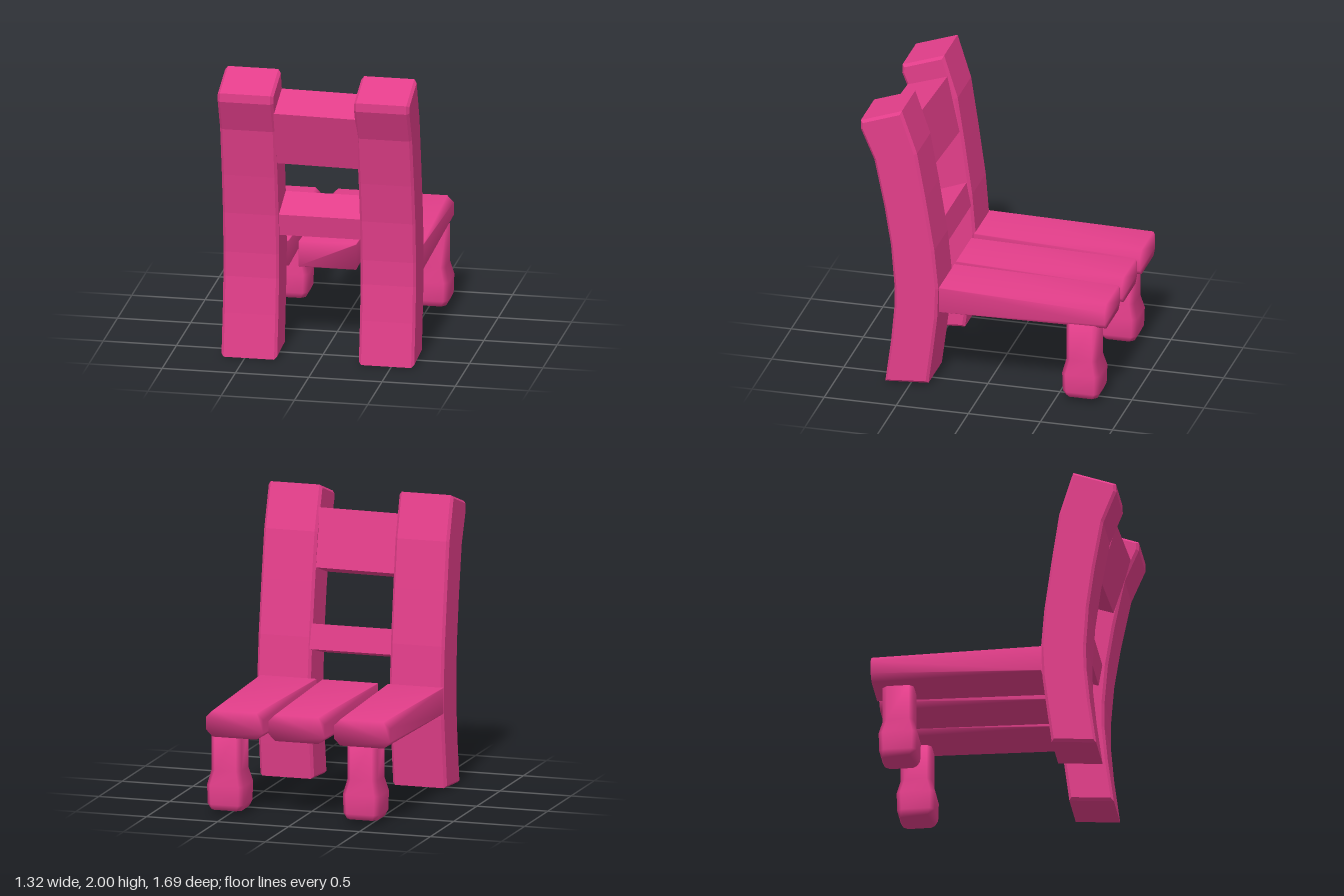
import * as THREE from 'three';

const pink = new THREE.MeshStandardMaterial({ color: 0xe33e8a });
pink.name = 'pink paint';

function add(group, name, geometry) {
  const mesh = new THREE.Mesh(geometry, pink);
  mesh.name = name;
  group.add(mesh);
  return mesh;
}

// Side profile of [z, y] points, extruded along x from x0 to x1
function sideExtrude(points, x0, x1, bevel) {
  const shape = new THREE.Shape(points.map(([z, y]) => new THREE.Vector2(z, y)));
  const g = new THREE.ExtrudeGeometry(shape, {
    depth: x1 - x0 - 2 * bevel, bevelEnabled: bevel > 0, bevelSegments: 1,
    bevelSize: bevel, bevelThickness: bevel, bevelOffset: -bevel,
  });
  g.rotateY(-Math.PI / 2);
  g.translate(x1 - bevel, 0, 0);
  return g;
}

// Shift z by a rule of x and y
function lean(g, rule) {
  const p = g.attributes.position;
  for (let i = 0; i < p.count; i++) p.setZ(i, p.getZ(i) + rule(p.getX(i), p.getY(i)));
  g.computeVertexNormals();
  return g;
}

// Rectangle with corners cut by c
function cutRect(x0, x1, y0, y1, c) {
  return [
    [x0, y0 + c], [x0, y1 - c], [x0 + c, y1], [x1 - c, y1],
    [x1, y1 - c], [x1, y0 + c], [x1 - c, y0], [x0 + c, y0],
  ];
}

// Closed smooth skin over [z, eight-point section] rings, in order of rising z
function loft(rings) {
  const pos = [], idx = [], n = 8;
  for (const [z, ring] of rings) for (const [x, y] of ring) pos.push(x, y, z);
  for (let r = 0; r < rings.length - 1; r++) {
    for (let i = 0; i < n; i++) {
      const a = r * n + i, b = r * n + (i + 1) % n;
      idx.push(a, a + n, b, b, a + n, b + n);
    }
  }
  const last = (rings.length - 1) * n;
  for (let i = 1; i < n - 1; i++) {
    idx.push(0, i, i + 1);
    idx.push(last, last + i + 1, last + i);
  }
  const g = new THREE.BufferGeometry();
  g.setAttribute('position', new THREE.Float32BufferAttribute(pos, 3));
  g.setIndex(idx);
  g.computeVertexNormals();
  return g;
}

export function createModel() {
  const chair = new THREE.Group();
  chair.name = 'chair';

  // Curved back posts that also serve as legs
  const post = [
    [0.675, 0], [0.635, 0.3], [0.612, 0.55], [0.612, 0.72], [0.635, 1.0], [0.68, 1.28],
    [0.75, 1.62], [0.845, 1.84], [0.845, 1.9], [0.56, 2.0], [0.455, 1.7],
    [0.395, 1.37], [0.335, 1.0], [0.307, 0.72], [0.315, 0.5], [0.345, 0.25], [0.375, 0.02],
  ];
  add(chair, 'leftPost', sideExtrude(post, 0.275, 0.653, 0.018));
  add(chair, 'rightPost', lean(sideExtrude(post, -0.662, -0.282, 0.018),
    (x, y) => -0.01 * y * y));

  // Two slanted rails between the posts
  add(chair, 'upperRail', lean(sideExtrude(
    [[0.665, 1.38], [0.78, 1.765], [0.505, 1.855], [0.42, 1.46]], -0.287, 0.287, 0),
    (x) => 0.04 * x));
  add(chair, 'lowerRail', sideExtrude(
    [[0.575, 0.85], [0.6, 1.0], [0.36, 1.09], [0.33, 0.92]], -0.287, 0.287, 0));

  // Three seat boards, cut corners at the free end fading to square at the backrest
  [[-0.665, -0.27], [-0.205, 0.19], [0.23, 0.63]].forEach(([x0, x1], i) => {
    add(chair, 'seatBoard' + (i + 1), loft([
      [-0.845, cutRect(x0, x1, 0.545, 0.725, 0.045)],
      [0.305, cutRect(x0, x1, 0.545, 0.725, 0.004)],
    ]));
  });

  // Square legs with cut corners and swollen feet: [height, half width]
  const legProfile = [[0.03, 0.108], [0.07, 0.126], [0.2, 0.13], [0.3, 0.105], [0.56, 0.105]];
  for (const [name, x] of [['leftLeg', 0.517], ['rightLeg', -0.44]]) {
    const leg = loft(legProfile.map(([y, r]) => [y, cutRect(-r, r, -r, r, 0.03)]));
    leg.rotateX(-Math.PI / 2);
    add(chair, name, leg).position.set(x, 0, -0.677);
  }
  return chair;
}
